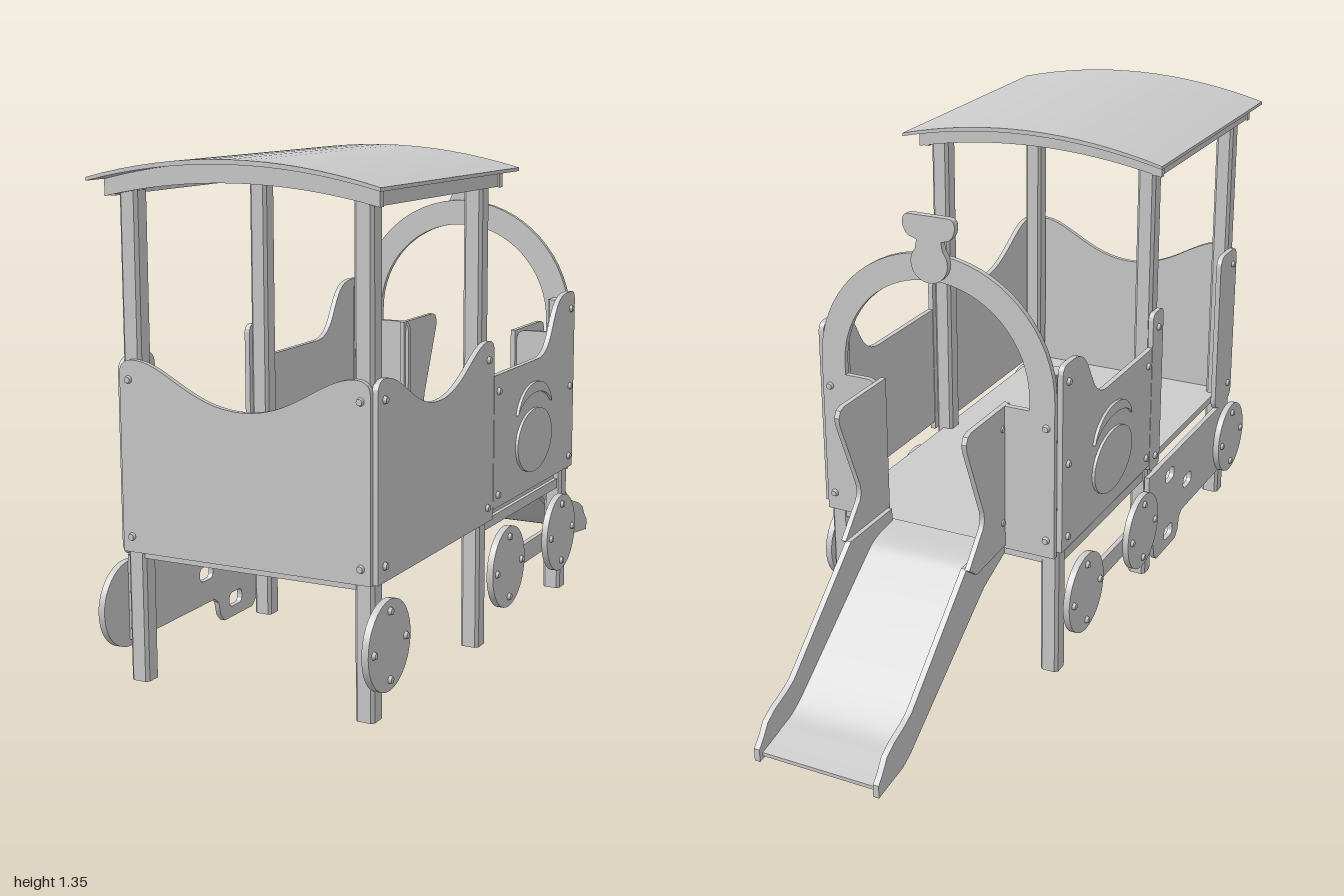
import * as THREE from 'three';
import { toCreasedNormals } from 'three/addons/utils/BufferGeometryUtils.js';

const material = new THREE.MeshStandardMaterial({ color: 0xcccccc, side: THREE.DoubleSide });
const HALF = 0.322;                   // post spacing from the centre line
const OUT = 0.346;                    // plane of the outer panels
const POST_Z = [0.812, 0.195, -0.413];

export function createModel() {
  const model = new THREE.Group();
  const train = new THREE.Group();
  train.name = 'playTrain';
  train.position.x = 0.045;
  const turned = new THREE.Group();
  turned.rotation.y = -0.607;
  turned.add(train);
  model.add(turned);

  const add = (name, geometry, x = 0, y = 0, z = 0) => {
    const mesh = new THREE.Mesh(geometry, material);
    mesh.name = name;
    mesh.position.set(x, y, z);
    train.add(mesh);
    return mesh;
  };
  const box = (name, w, h, d, x, y, z) => add(name, new THREE.BoxGeometry(w, h, d), x, y, z);
  const extrude = (shape, depth) => toCreasedNormals(
    new THREE.ExtrudeGeometry(shape, { depth, bevelEnabled: false, curveSegments: 16 }), 0.6);
  // Shape drawn in (z, y), standing in a plane of constant x, growing to +x
  const sidePanel = (name, shape, depth, x) => {
    const mesh = add(name, extrude(shape, depth), x + depth, 0, 0);
    mesh.rotation.y = -Math.PI / 2;
    return mesh;
  };
  const poly = (pts) => new THREE.Shape(pts.map(([a, b]) => new THREE.Vector2(a, b)));
  const roundRect = (a0, b0, a1, b1, r, Type = THREE.Shape) => {
    const s = new Type();
    s.moveTo(a0 + r, b0);
    s.lineTo(a1 - r, b0); s.quadraticCurveTo(a1, b0, a1, b0 + r);
    s.lineTo(a1, b1 - r); s.quadraticCurveTo(a1, b1, a1 - r, b1);
    s.lineTo(a0 + r, b1); s.quadraticCurveTo(a0, b1, a0, b1 - r);
    s.lineTo(a0, b0 + r); s.quadraticCurveTo(a0, b0, a0 + r, b0);
    return s;
  };
  // Round screw caps on side (x) or end (z) panels
  const cap = (x, y, z, axis) => {
    const m = add('screwCap', new THREE.CylinderGeometry(0.008, 0.011, 0.01, 12), x, y, z);
    if (axis === 'x') m.rotation.z = -Math.sign(x) * Math.PI / 2;
    else m.rotation.x = Math.sign(z) * Math.PI / 2;
  };

  // Posts: square tubes with chamfered corners
  const p = 0.026, q = 0.018;
  const postShape = poly([[-q, -p], [q, -p], [p, -q], [p, q], [q, p], [-q, p], [-p, q], [-p, -q]]);
  for (const x of [-HALF, HALF]) {
    POST_Z.forEach((z, i) => {
      const post = add('post', extrude(postShape, (i === 2 ? 0.885 : 1.265) - 0.015), x, 0.015, z);
      post.rotation.x = -Math.PI / 2;
    });
  }

  // Floor and its edge rails
  box('floor', 0.65, 0.022, 1.27, 0, 0.352, 0.198);
  for (const s of [-1, 1]) box('floorRail', 0.016, 0.028, 0.58, s * 0.328, 0.338, -0.11);

  // Panels with a scooped top edge: the rear wall and the rear right side
  const scooped = (a0, a1) => {
    const m = (a0 + a1) / 2, w = (a1 - a0) / 2, s = new THREE.Shape();
    s.moveTo(a0, 0.36); s.lineTo(a1, 0.36); s.lineTo(a1, 0.815);
    s.quadraticCurveTo(a1, 0.85, a1 - 0.04, 0.85);
    s.bezierCurveTo(a1 - 0.13, 0.85, m + w * 0.42, 0.745, m, 0.745);
    s.bezierCurveTo(m - w * 0.42, 0.745, a0 + 0.13, 0.85, a0 + 0.04, 0.85);
    s.quadraticCurveTo(a0, 0.85, a0, 0.815);
    return s;
  };
  add('rearPanel', extrude(scooped(-0.348, 0.348), 0.015), 0, 0, 0.838);
  sidePanel('rearSidePanel', scooped(0.156, 0.84), 0.015, OUT);
  for (const y of [0.4, 0.8]) {
    for (const x of [-HALF, HALF]) cap(x, y, 0.856, 'z');
    for (const z of [0.805, 0.195]) cap(0.364, y, z, 'x');
  }

  // Doorway on the left: narrow jamb panels and a climbing board with hand holes
  sidePanel('doorJamb', roundRect(0.7, 0.34, 0.84, 0.85, 0.04), 0.015, -OUT - 0.015);
  sidePanel('doorJamb', roundRect(0.156, 0.36, 0.232, 0.85, 0.025), 0.015, -OUT - 0.015);
  const board = poly([[0.16, 0.34], [0.16, 0.11], [0.2, 0.11], [0.215, 0.06], [0.235, 0.04], [0.385, 0.04],
    [0.405, 0.06], [0.415, 0.1], [0.435, 0.115], [0.82, 0.115], [0.82, 0.34]]);
  for (const [z, y] of [[0.475, 0.2], [0.326, 0.28], [0.326, 0.09]])
    board.holes.push(roundRect(z - 0.033, y - 0.02, z + 0.033, y + 0.02, 0.018, THREE.Path));
  sidePanel('climbingBoard', board, 0.015, -OUT - 0.015);
  for (const y of [0.4, 0.8]) for (const z of [0.805, 0.195]) cap(-0.364, y, z, 'x');

  // Engine side panels, each with a round boss and a brow, plus wheels
  const engine = new THREE.Shape();
  engine.moveTo(-0.443, 0.385); engine.lineTo(0.153, 0.385); engine.lineTo(0.153, 0.75);
  engine.lineTo(-0.16, 0.75);
  engine.bezierCurveTo(-0.29, 0.75, -0.25, 0.91, -0.38, 0.91);
  engine.lineTo(-0.415, 0.91);
  engine.quadraticCurveTo(-0.443, 0.91, -0.443, 0.88);
  const boss = new THREE.Shape().absellipse(-0.126, 0.525, 0.128, 0.09, 0, Math.PI * 2);
  const brow = new THREE.Shape();
  brow.moveTo(0.0, 0.615);
  brow.bezierCurveTo(-0.03, 0.715, -0.222, 0.715, -0.252, 0.615);
  brow.bezierCurveTo(-0.2, 0.675, -0.052, 0.675, 0.0, 0.615);
  for (const s of [-1, 1]) {
    const place = (d, off) => (s > 0 ? OUT + off : -OUT - off - d);
    sidePanel('enginePanel', engine, 0.015, place(0.015, 0));
    sidePanel('boss', boss, 0.01, place(0.01, 0.013));
    sidePanel('brow', brow, 0.01, place(0.01, 0.013));
    for (const [z, y] of [[0.125, 0.42], [0.125, 0.705], [-0.41, 0.42], [-0.41, 0.63], [-0.41, 0.86]])
      cap(s * 0.364, y, z, 'x');
    for (const z of [0.814, 0.08, -0.318]) {
      const wheel = add('wheel', toCreasedNormals(new THREE.CylinderGeometry(0.113, 0.113, 0.018, 40), 0.6),
        s * 0.37, 0.21, z);
      wheel.rotation.z = Math.PI / 2;
      for (const [dy, dz] of [[0, 0.085], [0, -0.085], [0.085, 0], [-0.085, 0]]) cap(s * 0.382, 0.21 + dy, z + dz, 'x');
    }
    box('couplingBar', 0.014, 0.055, 0.3, s * 0.355, 0.205, -0.12);
  }

  // Front arch: wide lower cheeks beside the slide, ring above
  const arch = new THREE.Shape();
  arch.moveTo(0.18, 0.37); arch.lineTo(0.345, 0.37); arch.lineTo(0.345, 0.815);
  arch.absarc(0, 0.815, 0.345, 0, Math.PI, false);
  arch.lineTo(-0.345, 0.37); arch.lineTo(-0.18, 0.37); arch.lineTo(-0.18, 0.75);
  arch.quadraticCurveTo(-0.18, 0.78, -0.21, 0.78);
  arch.lineTo(-0.273, 0.78);
  arch.absarc(0, 0.815, 0.273, Math.PI, 0, true);
  arch.lineTo(0.273, 0.78); arch.lineTo(0.21, 0.78);
  arch.quadraticCurveTo(0.18, 0.78, 0.18, 0.75);
  add('frontArch', extrude(arch, 0.016), 0, 0, -0.457);
  for (const x of [-HALF, HALF]) for (const y of [0.42, 0.74]) cap(x, y, -0.461, 'z');

  // Chimney ornament on top of the arch
  const chimney = new THREE.Shape();
  chimney.moveTo(-0.035, 1.18);
  chimney.absarc(0, 1.14, 0.053, Math.PI * 0.77, Math.PI * 2.23, false);
  chimney.lineTo(0.035, 1.2); chimney.lineTo(0.058, 1.207);
  chimney.quadraticCurveTo(0.075, 1.22, 0.075, 1.245);
  chimney.quadraticCurveTo(0.073, 1.265, 0.055, 1.265);
  chimney.lineTo(-0.055, 1.265);
  chimney.quadraticCurveTo(-0.073, 1.265, -0.075, 1.245);
  chimney.quadraticCurveTo(-0.075, 1.22, -0.058, 1.207);
  chimney.lineTo(-0.035, 1.2);
  add('chimney', extrude(chimney, 0.02), 0, 0, -0.475);

  // Curved roof, arched end boards and side beams
  const bow = (w, lowEdge, lowTop, highEdge, highTop) => {
    const s = new THREE.Shape();
    s.moveTo(-w, lowEdge);
    s.quadraticCurveTo(0, 2 * lowTop - lowEdge, w, lowEdge);
    s.lineTo(w, highEdge);
    s.quadraticCurveTo(0, 2 * highTop - highEdge, -w, highEdge);
    return s;
  };
  add('roof', extrude(bow(0.398, 1.289, 1.338, 1.298, 1.35), 0.806), 0, 0, 0.093);
  for (const z of [0.838, 0.15])
    add('roofEndBoard', extrude(bow(0.375, 1.25, 1.292, 1.292, 1.339), 0.018), 0, 0, z);
  for (const s of [-1, 1]) box('roofBeam', 0.025, 0.042, 0.7, s * 0.358, 1.273, 0.503);

  // Slide: notched hood wings, side rails and a thin bed
  const wing = poly([[-0.43, 0.38], [-0.43, 0.78], [-0.64, 0.78], [-0.658, 0.773], [-0.667, 0.755], [-0.664, 0.735],
    [-0.578, 0.53], [-0.574, 0.505], [-0.582, 0.485], [-0.66, 0.4], [-0.62, 0.37]]);
  const rail = poly([[-0.44, 0.345], [-0.44, 0.4], [-0.655, 0.4], [-0.95, 0.145], [-0.98, 0.13], [-1.04, 0.11],
    [-1.075, 0.09], [-1.095, 0.06], [-1.118, 0.035], [-1.118, 0], [-1.0, 0.015], [-0.965, 0.03], [-0.56, 0.3]]);
  for (const s of [-1, 1]) {
    sidePanel('slideWing', wing, 0.014, -0.012 + s * 0.184 - 0.007);
    sidePanel('slideRail', rail, 0.016, -0.012 + s * 0.172 - 0.008);
    for (const y of [0.45, 0.72]) cap(s * 0.19 - 0.012, y, -0.47, 'x');
  }
  const top = new THREE.SplineCurve([[-0.43, 0.365], [-0.53, 0.352], [-0.6, 0.31], [-0.78, 0.18], [-0.94, 0.067],
    [-1.02, 0.04], [-1.105, 0.02]].map(([a, b]) => new THREE.Vector2(a, b))).getPoints(30);
  const bed = new THREE.Shape([...top, ...top.map((v) => new THREE.Vector2(v.x, v.y - 0.01)).reverse()]);
  sidePanel('slideBed', bed, 0.34, -0.182);

  return model;
}
